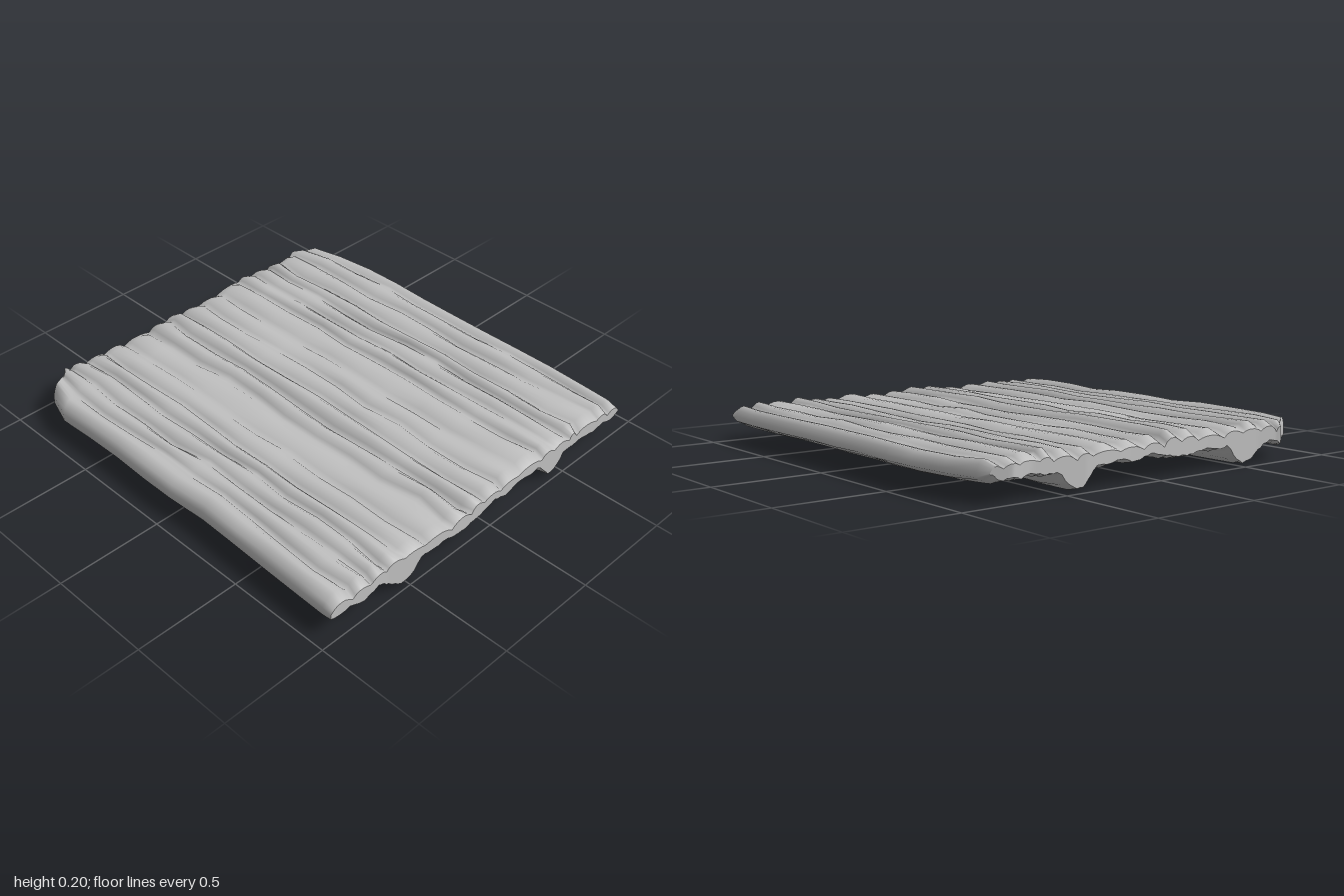
import * as THREE from 'three';

// small seeded random, -1..1
function seeded(seed) {
  let s = seed;
  return () => {
    s = (s * 16807) % 2147483647;
    return (s / 2147483647) * 2 - 1;
  };
}

// straight-line lookup in a list of [position, value]
function lookup(points, p) {
  if (p <= points[0][0]) return points[0][1];
  for (let i = 1; i < points.length; i++) {
    const [a, va] = points[i - 1], [b, vb] = points[i];
    if (p <= b) return va + ((vb - va) * (p - a)) / (b - a);
  }
  return points[points.length - 1][1];
}

// grooves between the planks, back to front, and crest height of each plank
const grooves = [-0.93, -0.84, -0.74, -0.61, -0.54, -0.45, -0.36, -0.2, -0.08, 0.04, 0.14, 0.25, 0.4, 0.52, 0.61, 0.71, 0.81, 0.93];
const crests = [0.17, 0.18, 0.18, 0.185, 0.18, 0.175, 0.18, 0.175, 0.18, 0.195, 0.19, 0.175, 0.18, 0.185, 0.185, 0.18, 0.182];

// underside, with the two hanging runners
const underside = [
  [-0.93, 0.105], [-0.87, 0.075], [-0.8, 0.09], [-0.72, 0.075], [-0.65, 0.09], [-0.58, 0.075], [-0.52, 0.08],
  [-0.49, 0.035], [-0.45, 0.01], [-0.42, 0.01], [-0.38, 0.05], [-0.35, 0.09], [-0.28, 0.08], [-0.2, 0.095],
  [-0.12, 0.075], [-0.03, 0.1], [0.05, 0.08], [0.18, 0.068], [0.28, 0.085], [0.36, 0.075], [0.42, 0.085],
  [0.46, 0.035], [0.51, 0.005], [0.55, 0.01], [0.61, 0.055], [0.67, 0.09], [0.77, 0.065], [0.83, 0.09], [0.88, 0.08], [0.93, 0.095],
];

// worn outline of the slab
const backEdge = [[-1, -0.84], [-0.95, -0.87], [-0.83, -0.91], [-0.6, -0.94], [-0.1, -0.925], [0.75, -0.92], [1, -0.9]];
const frontEdge = [[-1, 0.78], [-0.97, 0.84], [-0.92, 0.925], [-0.5, 0.91], [0, 0.92], [0.2, 0.905], [1, 0.935]];
const leftEnd = [[-0.93, 0.995], [-0.5, 0.98], [-0.2, 0.98], [0.2, 0.995], [0.45, 0.985], [0.61, 0.975], [0.7, 0.985], [0.93, 0.98]];
const rightEnd = [[-0.93, -0.96], [-0.8, -1], [-0.65, -0.97], [-0.4, -1], [-0.15, -0.975], [0.3, -0.97], [0.6, -0.975], [0.77, -1], [0.93, -0.93]];

const stations = [-1, -0.95, -0.8, -0.6, -0.4, -0.2, 0, 0.2, 0.4, 0.6, 0.8, 0.95, 1];
const arch = [[0, 0], [0.15, 0.55], [0.35, 0.95], [0.5, 1], [0.68, 0.92], [0.86, 0.5]];

// one cross-section: matching lists of top and bottom points
function crossSection(t, rand) {
  const isEnd = Math.abs(t) === 1;
  const wander = grooves.map((g, i) => (i && i < grooves.length - 1 ? g + rand() * 0.016 : g));
  const depth = grooves.map(() => 0.15 + rand() * 0.014);
  depth[0] = 0.125;
  depth[depth.length - 1] = 0.135;
  const top = [], bottom = [];
  const add = (z, y) => {
    const edge = z < 0 ? -lookup(backEdge, t) : lookup(frontEdge, t);
    const near = Math.max(0, (Math.abs(z) - 0.7) / 0.23);
    const zz = z + Math.sign(z) * near * (edge - 0.93);
    const x = t > 0 ? t * lookup(leftEnd, z) : -t * lookup(rightEnd, z);
    let low = lookup(underside, z) + rand() * 0.004;
    if (isEnd) {
      y = 0.12 + (y - 0.12) * 0.6;
      low += low < 0.06 ? 0.012 : 0.015;
    }
    top.push([x, y, zz]);
    bottom.push([x, Math.max(0, low), zz]);
  };
  for (let k = 0; k < crests.length; k++) {
    const crest = crests[k] + rand() * 0.005;
    for (const [f, h] of arch) {
      const base = depth[k] + (depth[k + 1] - depth[k]) * f;
      add(wander[k] + (wander[k + 1] - wander[k]) * f, base + (crest - base) * h);
    }
  }
  add(wander[crests.length], depth[crests.length]);
  return { top, bottom };
}

function makeGeometry(positions, index) {
  const g = new THREE.BufferGeometry();
  g.setAttribute('position', new THREE.Float32BufferAttribute(positions.flat(), 3));
  g.setIndex(index);
  g.computeVertexNormals();
  return g;
}

// skin wrapped around all the cross-sections
function skinGeometry(sections) {
  const rings = sections.map((s) => [...s.top, ...s.bottom.slice().reverse()]);
  const n = rings[0].length, index = [];
  for (let i = 0; i < rings.length - 1; i++) {
    for (let j = 0; j < n; j++) {
      const a = i * n + j, b = i * n + ((j + 1) % n);
      index.push(a, b, a + n, b, b + n, a + n);
    }
  }
  return makeGeometry(rings.flat(), index);
}

// cut end between the top and bottom points
function endGeometry({ top, bottom }, side) {
  const n = top.length, index = [];
  for (let j = 0; j < n - 1; j++) {
    const a = j, b = j + 1, c = n + j, d = n + j + 1;
    if (side > 0) index.push(a, b, c, b, d, c);
    else index.push(a, c, b, b, c, d);
  }
  return makeGeometry([...top, ...bottom], index);
}

export function createModel() {
  const group = new THREE.Group();
  group.name = 'ridgedSlab';
  const grey = new THREE.MeshStandardMaterial({ color: 0xc0c0c0 });
  grey.name = 'weatheredGrey';

  const rand = seeded(4217);
  const sections = stations.map((t) => crossSection(t, rand));
  const add = (name, geometry) => {
    const mesh = new THREE.Mesh(geometry, grey);
    mesh.name = name;
    group.add(mesh);
  };
  add('plankDeck', skinGeometry(sections));
  add('rightEnd', endGeometry(sections[0], -1));
  add('leftEnd', endGeometry(sections[sections.length - 1], 1));
  return group;
}
